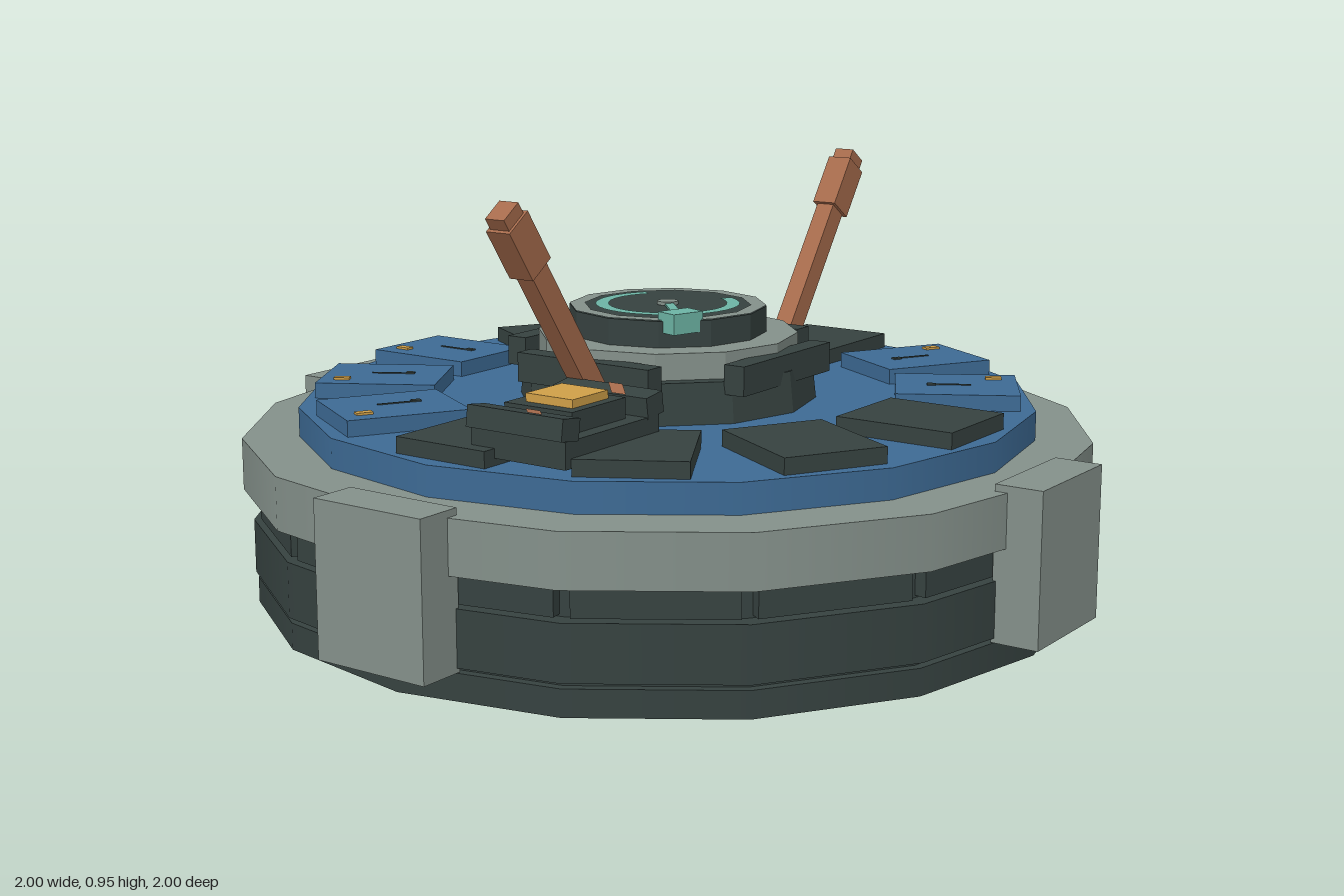
import * as THREE from 'three';

const mat = (name, color, flatShading = false) => {
  const m = new THREE.MeshStandardMaterial({ color });
  m.name = name;
  m.flatShading = flatShading;
  return m;
};

export function createModel() {
  const root = new THREE.Group();
  root.name = 'roundConsole';
  const dark = mat('darkMetal', 0x364240);
  const blue = mat('bluePanel', 0x3d6a94);
  const grey = mat('greyMetal', 0x84908a);
  const copper = mat('copper', 0xa66b4c);
  const amber = mat('amber', 0xcf9f48);
  const teal = mat('tealGlow', 0x6cb3a4);

  const add = (name, geo, material, x = 0, y = 0, z = 0, parent = root) => {
    const m = new THREE.Mesh(geo, material);
    m.name = name;
    m.position.set(x, y, z);
    parent.add(m);
    return m;
  };
  const box = (name, w, h, d, material, x, y, z, parent) =>
    add(name, new THREE.BoxGeometry(w, h, d), material, x, y, z, parent);
  // Disc or frustum between two heights
  const disc = (name, rTop, rBottom, y0, y1, sides, material, flat = false) => {
    let g = new THREE.CylinderGeometry(rTop, rBottom, y1 - y0, sides);
    if (flat) {
      g = g.toNonIndexed();
      g.computeVertexNormals();
    }
    return add(name, g, material, 0, (y0 + y1) / 2, 0);
  };
  // Group turned so its local -z points outward, clockwise from the back
  const spoke = (name, degrees) => {
    const g = new THREE.Group();
    g.name = name;
    g.rotation.y = -THREE.MathUtils.degToRad(degrees);
    root.add(g);
    return g;
  };

  // Stacked drum
  disc('basePlate', 0.925, 0.925, 0, 0.058, 16, dark);
  disc('baseGroove', 0.905, 0.905, 0.058, 0.07, 16, dark);
  disc('lowerDrum', 0.93, 0.93, 0.07, 0.19, 16, dark);
  disc('drumCore', 0.89, 0.89, 0.19, 0.26, 16, dark);
  disc('outerRing', 0.95, 0.95, 0.26, 0.375, 16, grey);
  disc('deck', 0.825, 0.825, 0.375, 0.44, 16, blue);

  // Panels in the recess under the ring
  for (let i = 0; i < 16; i++) {
    const s = spoke('recessPanel', (i + 0.5) * 22.5);
    box('recessPlate', 0.325, 0.06, 0.04, dark, 0, 0.225, -0.88, s);
  }

  // Four clamps on the rim
  for (let i = 0; i < 4; i++) {
    const s = spoke('rimClamp', i * 90);
    box('clampBlock', 0.275, 0.33, 0.105, grey, 0, 0.225, -0.9475, s);
  }

  // Twelve deck tiles
  const blueTiles = [0, 4, 5, 10, 11];
  for (let i = 0; i < 12; i++) {
    const s = spoke('deckTile', i * 30);
    const isBlue = blueTiles.includes(i);
    box('tile', 0.23, 0.037, 0.272, isBlue ? blue : dark, 0, 0.4565, -0.648, s);
    if (isBlue) {
      box('tileLamp', 0.02, 0.006, 0.036, amber, -0.066, 0.477, -0.733, s);
      box('tileScratch', 0.004, 0.003, 0.09, dark, 0.008, 0.476, -0.635, s);
      box('tileMark', 0.014, 0.004, 0.02, dark, 0.012, 0.4765, -0.592, s);
    }
  }

  // Central hub
  disc('hubBase', 0.325, 0.335, 0.44, 0.53, 12, dark, true);
  disc('hubCollar', 0.293, 0.293, 0.53, 0.588, 12, grey, true);
  disc('hubDrum', 0.222, 0.222, 0.588, 0.646, 12, dark, true);
  for (let i = 0; i < 4; i++) {
    const s = spoke('hubBracket', i * 90);
    box('bracketBar', 0.35, 0.065, 0.05, dark, 0, 0.535, -0.295, s);
  }

  // Dial on the hub
  const rim = add('dialRim', new THREE.RingGeometry(0.187, 0.222, 12, 1, Math.PI / 2), grey, 0, 0.648, 0);
  rim.rotation.x = -Math.PI / 2;
  const start = THREE.MathUtils.degToRad(54);
  const arc = add('dialArc', new THREE.RingGeometry(0.133, 0.162, 30, 1, start,
    THREE.MathUtils.degToRad(278)), teal, 0, 0.65, 0);
  arc.rotation.x = -Math.PI / 2;
  const needle = box('dialNeedle', 0.15, 0.005, 0.02, teal, -0.055, 0.65, 0.052);
  needle.rotation.y = THREE.MathUtils.degToRad(43);
  add('dialPivot', new THREE.CylinderGeometry(0.024, 0.024, 0.008, 10), grey, 0, 0.651, 0);
  const marker = box('dialMarker', 0.08, 0.045, 0.055, teal, -0.15, 0.643, 0.14);
  marker.rotation.y = -0.3;

  // Mirrored levers leaning outward
  for (const side of [1, -1]) {
    box('leverFoot', 0.06, 0.065, 0.11, dark, side * 0.355, 0.4675, 0.072);
    const lever = new THREE.Group();
    lever.name = side > 0 ? 'leftLever' : 'rightLever';
    lever.position.set(side * 0.355, 0.485, 0.072);
    lever.rotation.z = -side * 0.61;
    root.add(lever);
    box('leverRod', 0.052, 0.43, 0.044, copper, 0, 0.215, 0, lever);
    box('leverHead', 0.07, 0.125, 0.06, copper, 0, 0.455, 0, lever);
    box('leverTip', 0.055, 0.04, 0.048, copper, 0, 0.525, 0, lever);
  }

  // Small control box on the deck
  const panel = new THREE.Group();
  panel.name = 'controlBox';
  panel.position.set(-0.597, 0, 0.173);
  root.add(panel);
  box('controlBase', 0.31, 0.055, 0.235, dark, 0, 0.4825, 0, panel);
  box('controlBody', 0.175, 0.045, 0.17, dark, -0.003, 0.531, 0, panel);
  box('controlButton', 0.117, 0.018, 0.117, amber, -0.003, 0.562, 0.005, panel);
  for (const side of [1, -1]) {
    const rail = new THREE.Group();
    rail.name = 'controlRail';
    rail.position.set(side * 0.139, 0.532, 0);
    rail.rotation.z = side * 0.14;
    panel.add(rail);
    box('railBar', 0.055, 0.045, 0.238, dark, 0, 0, 0, rail);
    // Slanted copper stripe across the rail
    const w = 0.027;
    const stripe = new THREE.Shape([
      new THREE.Vector2(-w, -0.058), new THREE.Vector2(w, -0.01),
      new THREE.Vector2(w, 0.026), new THREE.Vector2(-w, -0.022),
    ]);
    const mark = add('railStripe', new THREE.ShapeGeometry(stripe), copper, 0, 0.0245, 0.01, rail);
    mark.rotation.x = -Math.PI / 2;
  }
  return root;
}
